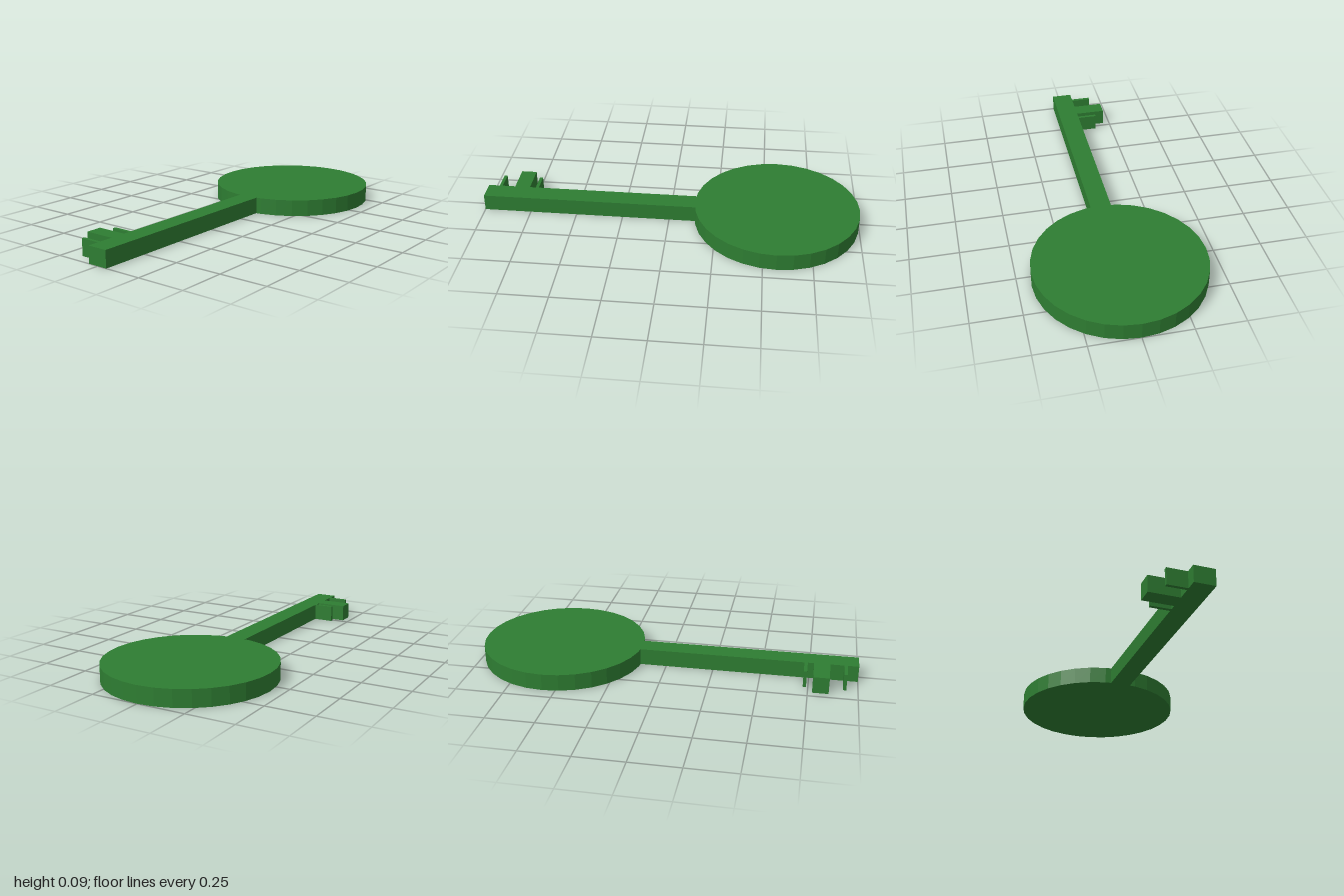
import * as THREE from 'three';

const T = 0.087; // thickness of the key

export function createModel() {
  const key = new THREE.Group();
  key.name = 'key';
  const green = new THREE.MeshStandardMaterial({ color: 0x2e7d32 });
  green.name = 'green';

  const add = (name, geometry, x, z) => {
    const mesh = new THREE.Mesh(geometry, green);
    mesh.name = name;
    mesh.position.set(x, T / 2, z);
    key.add(mesh);
  };
  // full-thickness bar spanning x0..x1 and z0..z1
  const bar = (name, x0, x1, z0, z1) =>
    add(name, new THREE.BoxGeometry(x1 - x0, T, z1 - z0), (x0 + x1) / 2, (z0 + z1) / 2);

  // round head with faceted rim
  const disc = new THREE.CylinderGeometry(0.433, 0.433, T, 32).toNonIndexed();
  disc.computeVertexNormals();
  add('head', disc, 0, -0.567);

  // shaft, set slightly into the head
  bar('shaft', -0.054, 0.054, -0.14, 1);

  // bit: one wide tooth between two thin ones
  bar('innerTooth', -0.158, -0.05, 0.724, 0.741);
  bar('wideTooth', -0.213, -0.05, 0.773, 0.855);
  bar('outerTooth', -0.158, -0.05, 0.925, 0.942);

  return key;
}
